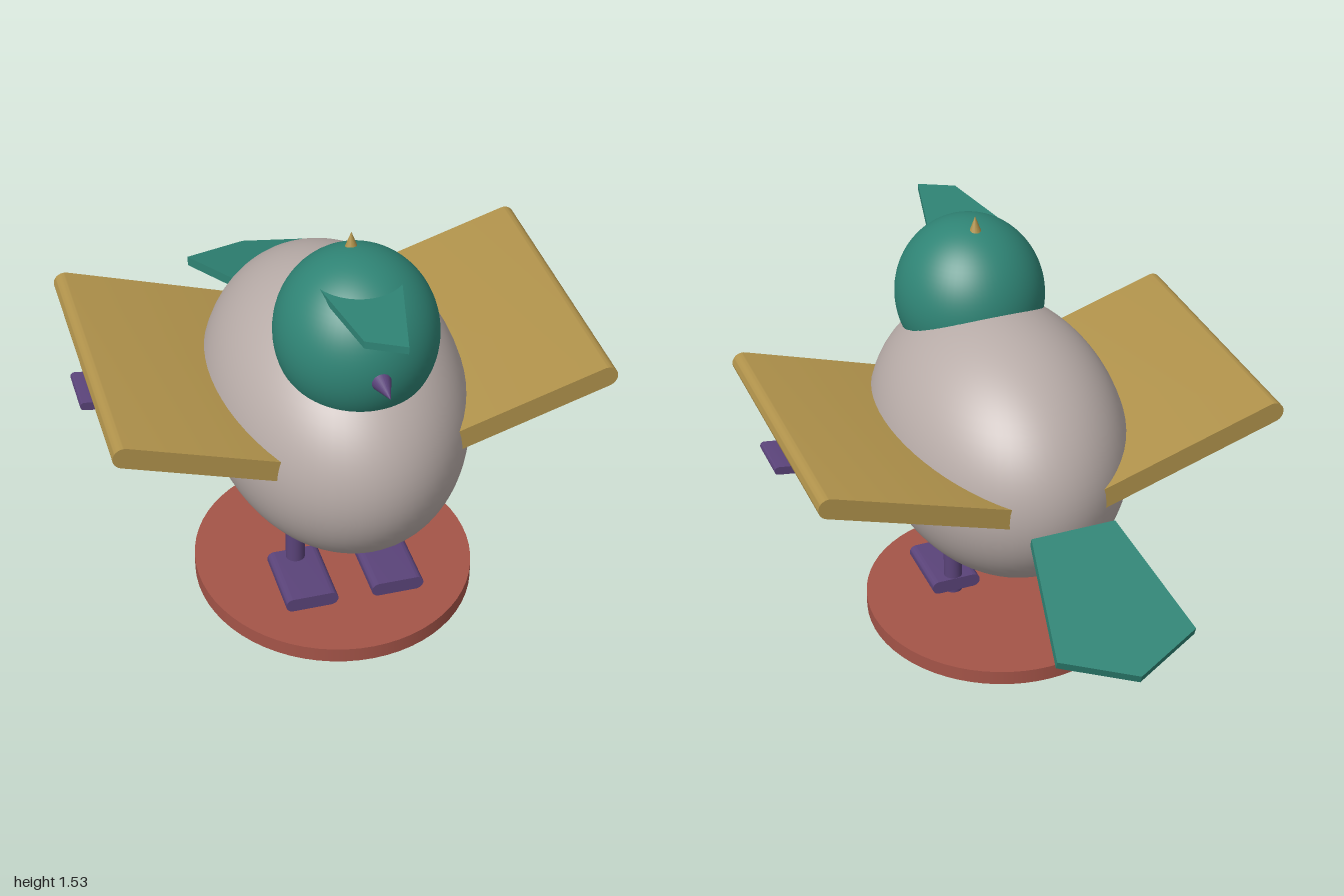
import * as THREE from 'three';
import { toCreasedNormals } from 'three/addons/utils/BufferGeometryUtils.js';

function material(name, color) {
  const m = new THREE.MeshStandardMaterial({ color });
  m.name = name;
  return m;
}

// Flat slab running from x0 to x1, centred on z, with rounded long-axis ends
function slab(x0, x1, thickness, depth, roundInner) {
  const r = thickness / 2;
  const s = new THREE.Shape();
  s.moveTo(x0 + (roundInner ? r : 0), -r);
  s.lineTo(x1 - r, -r);
  s.absarc(x1 - r, 0, r, -Math.PI / 2, Math.PI / 2, false);
  if (roundInner) s.absarc(x0 + r, 0, r, Math.PI / 2, Math.PI * 1.5, false);
  else s.lineTo(x0, r);
  s.closePath();
  const g = new THREE.ExtrudeGeometry(s, { depth, bevelEnabled: false, curveSegments: 12 });
  g.translate(0, 0, -depth / 2);
  return toCreasedNormals(g, 0.6);
}

// Horizontal plate from an outline of [x, z] points, its top face at y = 0
function plate(points, thickness) {
  const s = new THREE.Shape(points.map(([x, z]) => new THREE.Vector2(x, -z)));
  const g = new THREE.ExtrudeGeometry(s, { depth: thickness, bevelEnabled: false });
  g.rotateX(-Math.PI / 2);
  g.translate(0, -thickness, 0);
  return g;
}

export function createModel() {
  const model = new THREE.Group();
  model.name = 'bird';
  const grey = material('warm grey', 0xb8aca8);
  const teal = material('teal', 0x2f8475);
  const gold = material('gold', 0xb0924b);
  const purple = material('purple', 0x5a4379);
  const brick = material('brick red', 0xa45448);

  const add = (name, geometry, mat, x, y, z, parent = model) => {
    const mesh = new THREE.Mesh(geometry, mat);
    mesh.name = name;
    mesh.position.set(x, y, z);
    parent.add(mesh);
    return mesh;
  };

  // Stand
  add('stand', new THREE.CylinderGeometry(0.5, 0.5, 0.055, 64), brick, 0, 0.0275, 0.295).scale.set(0.986, 1, 1.045);

  // Body and head
  const ball = new THREE.SphereGeometry(1, 64, 40);
  add('body', ball, grey, 0, 0.758, 0.29).scale.set(0.444, 0.483, 0.638);
  add('head', ball, teal, 0, 1.2, 0.552).scale.set(0.27, 0.288, 0.285);

  // Beak and crown spike
  add('beak', new THREE.ConeGeometry(0.037, 0.11, 24), purple, 0, 1.19, 0.875).rotation.x = Math.PI / 2;
  add('crownSpike', new THREE.ConeGeometry(0.028, 0.075, 16), gold, 0, 1.494, 0.485);

  // Crest plate jutting forward over the beak
  add('crest', plate([[-0.148, 0.6], [-0.09, 0.935], [0.032, 1], [0.131, 0.6]], 0.026), teal, 0, 1.432, 0);

  // Tail plate sloping down to the back
  add('tail', plate([[-0.153, 0], [0.153, 0], [0.247, -0.485], [0, -0.611], [-0.247, -0.485]], 0.033),
    teal, 0, 0.78, -0.426).rotation.x = -0.349;

  // Wings, each with a small feather plate below
  const wingShape = slab(-0.74, 0.038, 0.076, 1.03, false);
  const featherShape = slab(-0.137, 0.137, 0.03, 0.178, true);
  for (const side of ['left', 'right']) {
    const wingGroup = new THREE.Group();
    wingGroup.name = side + 'WingGroup';
    wingGroup.position.z = 0.222;
    if (side === 'right') wingGroup.rotation.y = Math.PI;
    model.add(wingGroup);
    add(side + 'Wing', wingShape, gold, 0.809, 0.982, 0, wingGroup).rotation.z = 0.308;
    add(side + 'Feather', featherShape, purple, 0.738, 0.87, 0, wingGroup).rotation.z = 0.137;
  }

  // Legs and feet
  const legShape = new THREE.CylinderGeometry(0.034, 0.034, 0.32, 24);
  const footShape = slab(-0.094, 0.094, 0.052, 0.263, true);
  for (const [side, x] of [['left', 0.155], ['right', -0.155]]) {
    add(side + 'Leg', legShape, purple, x, 0.21, 0.36);
    add(side + 'Foot', footShape, purple, x, 0.094, 0.456);
  }
  return model;
}
